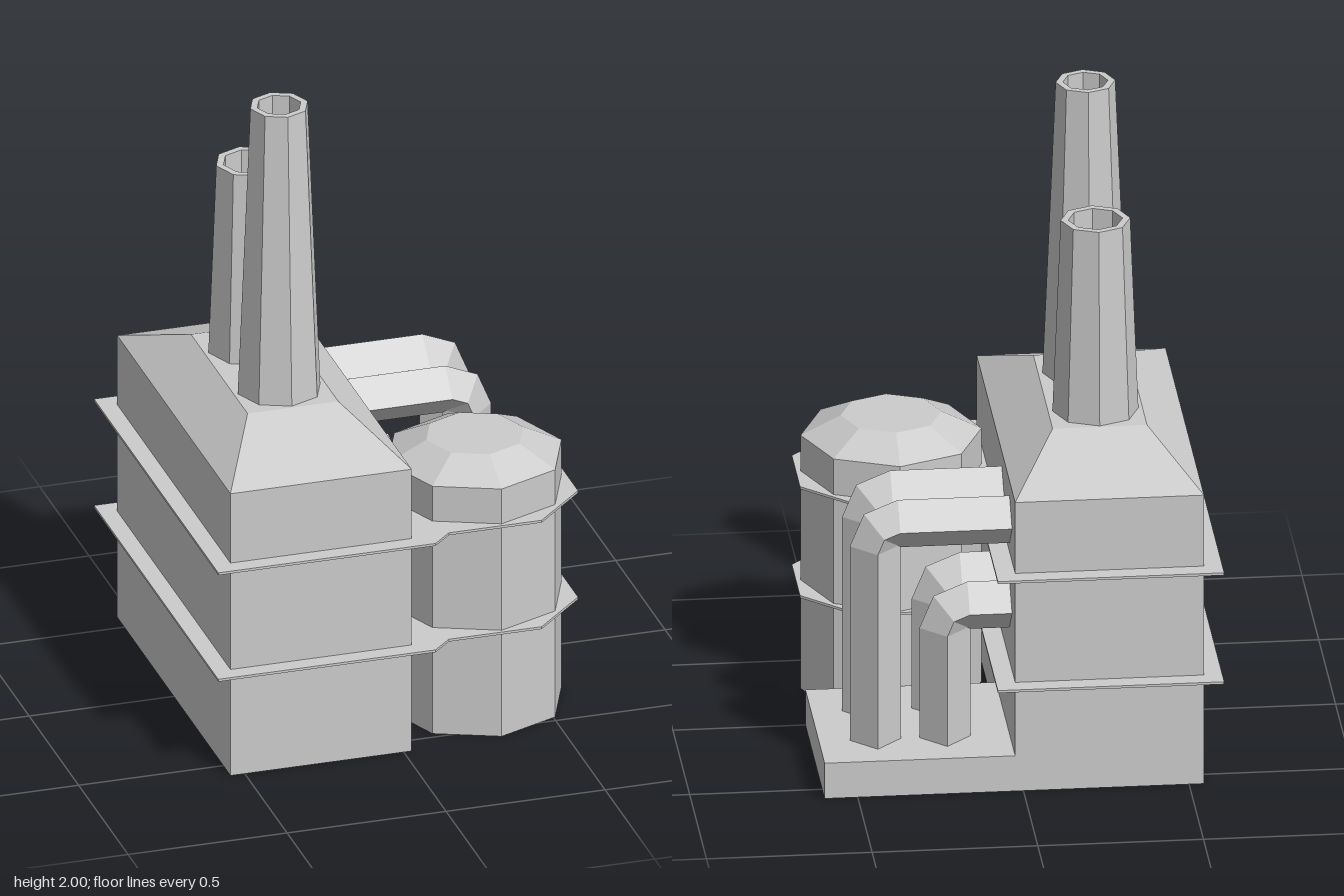
import * as THREE from 'three';

const grey = new THREE.MeshStandardMaterial({ color: 0xcccccc, flatShading: true });

// Closed solid through a list of equal-length rings, each counterclockwise about the direction of travel
function loft(rings) {
  const n = rings[0].length, idx = [];
  rings.slice(1).forEach((_, i) => {
    for (let j = 0; j < n; j++) {
      const a = i * n + j, b = i * n + (j + 1) % n;
      idx.push(a, b, b + n, a, b + n, a + n);
    }
  });
  const last = (rings.length - 1) * n;
  for (let j = 1; j < n - 1; j++) idx.push(0, j + 1, j, last, last + j, last + j + 1);
  const g = new THREE.BufferGeometry();
  g.setAttribute('position', new THREE.Float32BufferAttribute(rings.flat(2), 3));
  g.setIndex(idx);
  const flat = g.toNonIndexed();
  flat.computeVertexNormals();
  return flat;
}

// Horizontal rectangle ring
const rect = (x0, x1, z, y) => [[x1, y, z], [x1, y, -z], [x0, y, -z], [x0, y, z]];

// Eight-sided turned solid with corners on the axes
const turned = (points) => new THREE.LatheGeometry(points.map(([r, y]) => new THREE.Vector2(r, y)), 8);

// Diamond-section pipe leaving the wall and bending down to the slab
function elbowPipe(x, y, z) {
  const R = 0.077, bend = 0.068;
  const ring = (cx, cy, angle) => {
    const nx = Math.sin(angle) * R, ny = Math.cos(angle) * R;
    return [[cx + nx, cy + ny, z], [cx, cy, z + R], [cx - nx, cy - ny, z], [cx, cy, z - R]];
  };
  const rings = [ring(0, y, 0)];
  for (let i = 0; i <= 2; i++) {
    const a = i * Math.PI / 4;
    rings.push(ring(x - bend + Math.sin(a) * bend, y - bend + Math.cos(a) * bend, a));
  }
  rings.push(ring(x, 0.1, Math.PI / 2));
  return loft(rings);
}

export function createModel() {
  const model = new THREE.Group();
  const add = (name, geometry, x = 0, y = 0, z = 0) => {
    const mesh = new THREE.Mesh(geometry, grey);
    mesh.name = name;
    mesh.position.set(x, y, z);
    model.add(mesh);
  };

  // Main hall with hipped roof
  add('hall', loft([
    rect(-0.545, 0.025, 0.572, 0),
    rect(-0.545, 0.025, 0.572, 0.94),
    rect(-0.402, -0.117, 0.286, 1.055),
  ]));

  // Tapered hollow chimneys
  for (const [name, z, top, r, inner] of [
    ['tallChimney', 0.147, 2, 0.09, 0.068],
    ['shortChimney', -0.15, 1.675, 0.105, 0.082],
  ]) {
    add(name, turned([[0, 1.05], [0.13, 1.05], [r, top], [inner, top], [inner, top - 0.12], [0, top - 0.12]]), -0.26, 0, z);
  }

  // Storage tank
  add('tank', turned([[0, 0], [0.273, 0], [0.273, 0.825], [0.152, 0.885], [0, 0.885]]), 0.313, 0, 0.283);

  // Pipe slab
  add('pipeSlab', new THREE.BoxGeometry(0.6, 0.115, 0.572), 0.3, 0.0575, -0.286);

  // Two tall pipes and two short ones behind them
  for (const z of [-0.403, -0.174]) {
    add('tallPipe', elbowPipe(0.43, 0.815, z));
    add('shortPipe', elbowPipe(0.22, 0.54, z));
  }

  // Thin ledges wrapping the hall and tank
  const outline = [[-0.6, -0.63], [0.083, -0.63], [0.083, 0], [0.435, 0], [0.6, 0.162], [0.6, 0.405],
    [0.435, 0.568], [0.143, 0.568], [0.083, 0.626], [-0.6, 0.626]];
  const shape = new THREE.Shape(outline.map(([x, z]) => new THREE.Vector2(x, -z)));
  const ledge = new THREE.ExtrudeGeometry(shape, { depth: 0.008, bevelEnabled: false }).rotateX(-Math.PI / 2);
  for (const y of [0.346, 0.701]) add('ledge', ledge, 0, y, 0);

  return model;
}
